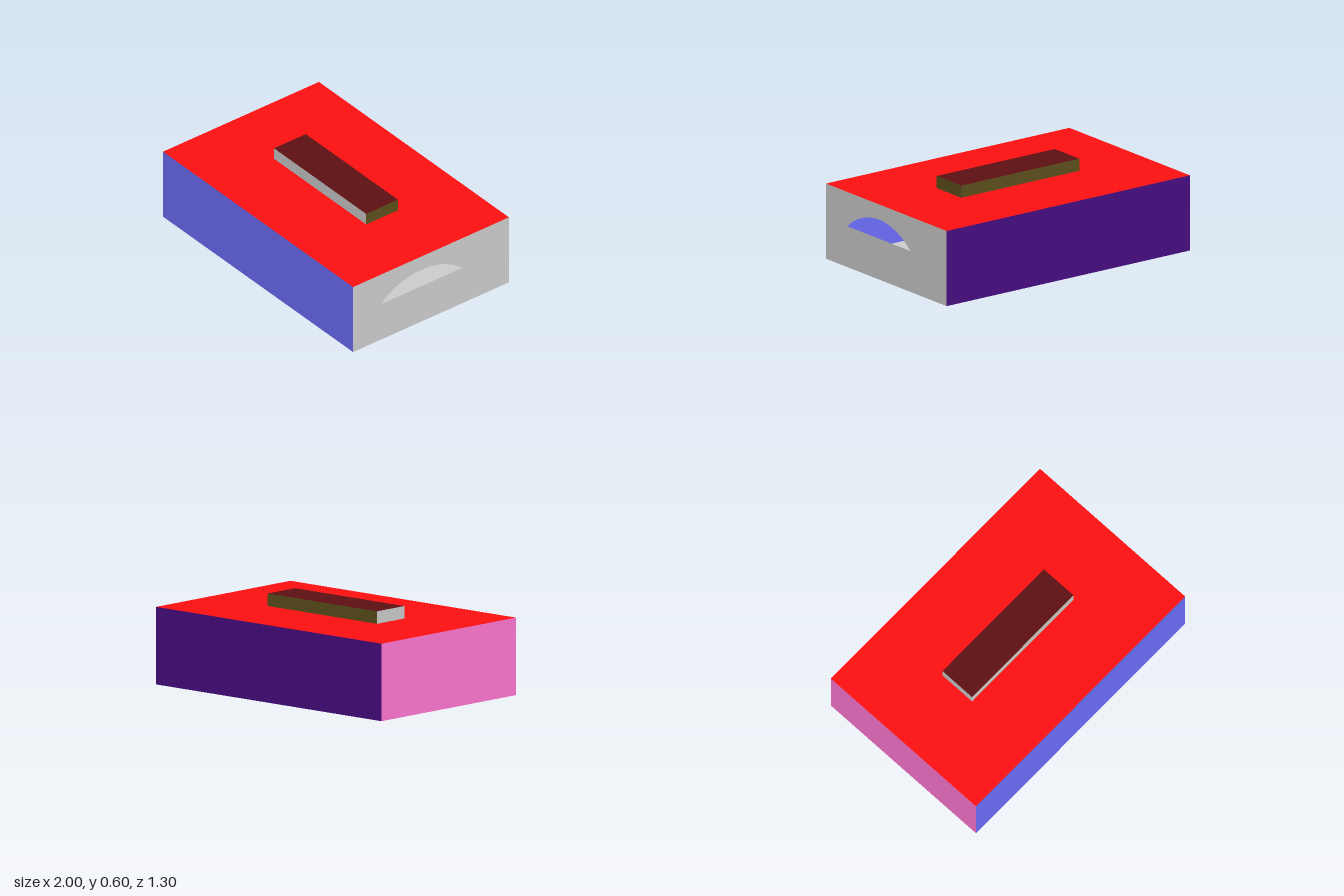
import * as THREE from 'three';

const W = 2, H = 0.515, D = 1.3;

function panel(name, geometry, color, position, rotation = [0, 0, 0]) {
  const material = new THREE.MeshStandardMaterial({ color, side: THREE.DoubleSide });
  const mesh = new THREE.Mesh(geometry, material);
  mesh.name = name;
  mesh.position.set(...position);
  mesh.rotation.set(...rotation);
  return mesh;
}

const sheet = (w, h) => new THREE.PlaneGeometry(w, h);

// Side wall outline with an arched opening
function openSide() {
  const shape = new THREE.Shape([
    new THREE.Vector2(-D / 2, 0), new THREE.Vector2(D / 2, 0),
    new THREE.Vector2(D / 2, H), new THREE.Vector2(-D / 2, H),
  ]);
  const radius = 0.51, centreY = -0.1, sillY = 0.28;
  const start = Math.asin((sillY - centreY) / radius);
  const hole = new THREE.Path();
  hole.absarc(-0.08, centreY, radius, start, Math.PI - start, false);
  hole.closePath();
  shape.holes.push(hole);
  return new THREE.ShapeGeometry(shape, 32);
}

export function createModel() {
  const model = new THREE.Group();
  model.name = 'box';
  const q = Math.PI / 2;

  // Hollow box of thin panels
  const body = new THREE.Group();
  body.name = 'body';
  body.add(
    panel('frontWall', sheet(W, H), 0x6e6efc, [0, H / 2, D / 2]),
    panel('backWall', sheet(W, H), 0x470d80, [0, H / 2, -D / 2], [0, Math.PI, 0]),
    panel('leftWall', openSide(), 0xcccccc, [W / 2, 0, 0], [0, q, 0]),
    panel('rightWall', sheet(D, H), 0xff77d3, [-W / 2, H / 2, 0], [0, -q, 0]),
    panel('lid', sheet(W, D), 0xfd1010, [0, H, 0], [-q, 0, 0]),
    panel('base', sheet(W, D), 0xcccccc, [0, 0, 0], [q, 0, 0]),
  );

  // Raised bar on the lid, open underneath
  const w = 0.97, h = 0.083, d = 0.265, y = H + h / 2;
  const handle = new THREE.Group();
  handle.name = 'handle';
  handle.add(
    panel('handleFront', sheet(w, h), 0xcccccc, [0, y, d / 2]),
    panel('handleBack', sheet(w, h), 0x5c4e1b, [0, y, -d / 2], [0, Math.PI, 0]),
    panel('handleLeft', sheet(d, h), 0x5c4e1b, [w / 2, y, 0], [0, q, 0]),
    panel('handleRight', sheet(d, h), 0xcccccc, [-w / 2, y, 0], [0, -q, 0]),
    panel('handleTop', sheet(w, d), 0x5e1012, [0, H + h, 0], [-q, 0, 0]),
  );

  model.add(body, handle);
  return model;
}
